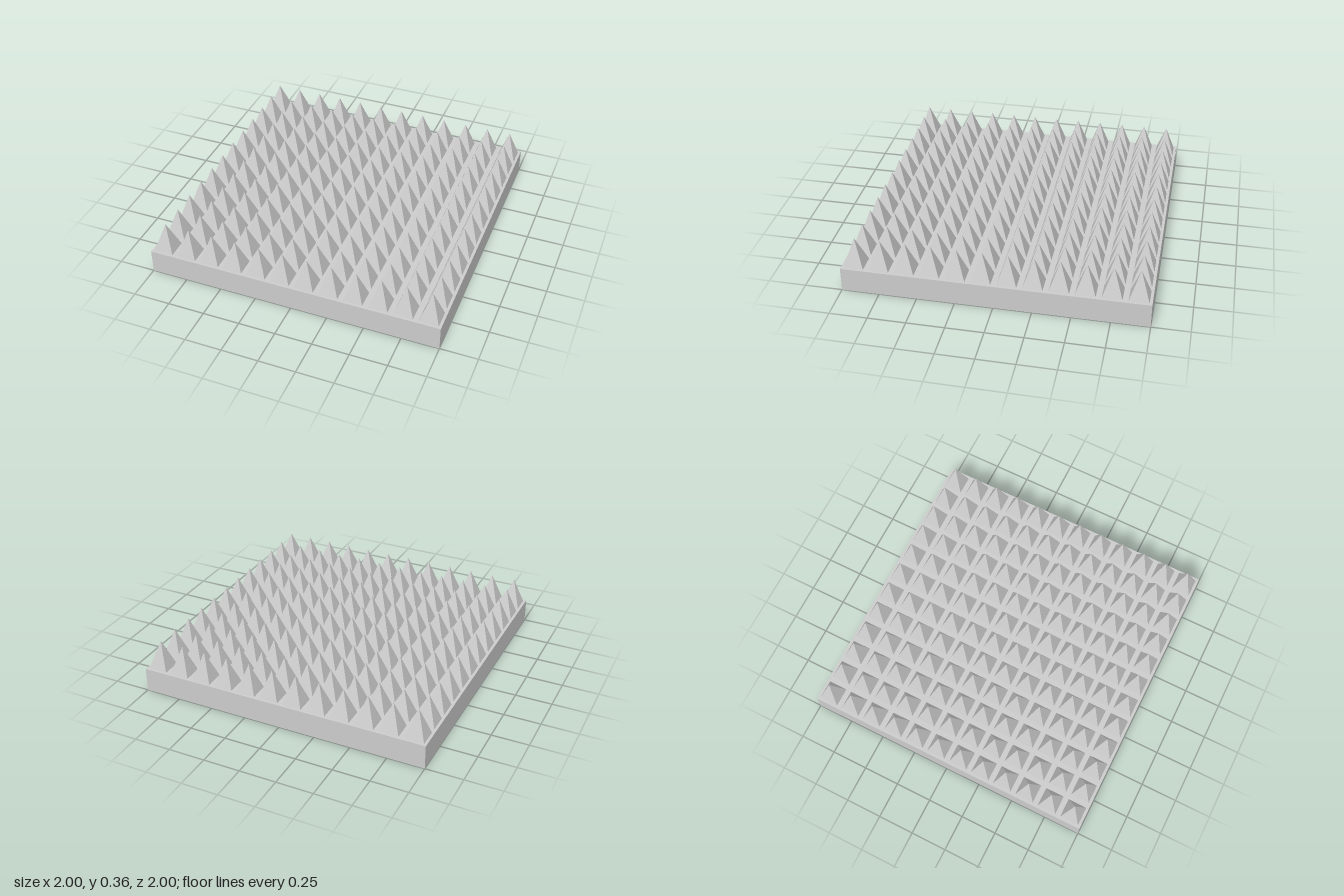
import * as THREE from 'three';

const SIZE = 2;          // side of the square slab
const SLAB = 0.166;      // slab thickness
const COUNT = 12;        // spikes per side
const SPIKE_WIDTH = 0.13;
const SPIKE_HEIGHT = 0.194;

export function createModel() {
  const model = new THREE.Group();
  model.name = 'spikedPanel';
  const material = new THREE.MeshStandardMaterial({ color: 0xcccccc, flatShading: true });

  // Flat square slab
  const slab = new THREE.Mesh(new THREE.BoxGeometry(SIZE, SLAB, SIZE), material);
  slab.name = 'slab';
  slab.position.y = SLAB / 2;
  model.add(slab);

  // One four-sided pyramid, sides square to the slab, standing on its base
  const pyramid = new THREE.ConeGeometry(SPIKE_WIDTH / Math.SQRT2, SPIKE_HEIGHT, 4, 1, true);
  pyramid.rotateY(Math.PI / 4);
  pyramid.translate(0, SPIKE_HEIGHT / 2, 0);

  // Even grid of spikes
  const spikes = new THREE.Group();
  spikes.name = 'spikes';
  const pitch = SIZE / COUNT;
  const at = (i) => (i + 0.5) * pitch - SIZE / 2;
  for (let row = 0; row < COUNT; row++) {
    for (let col = 0; col < COUNT; col++) {
      const spike = new THREE.Mesh(pyramid, material);
      spike.name = 'spike';
      spike.position.set(at(col), SLAB, at(row));
      spikes.add(spike);
    }
  }
  model.add(spikes);
  return model;
}
